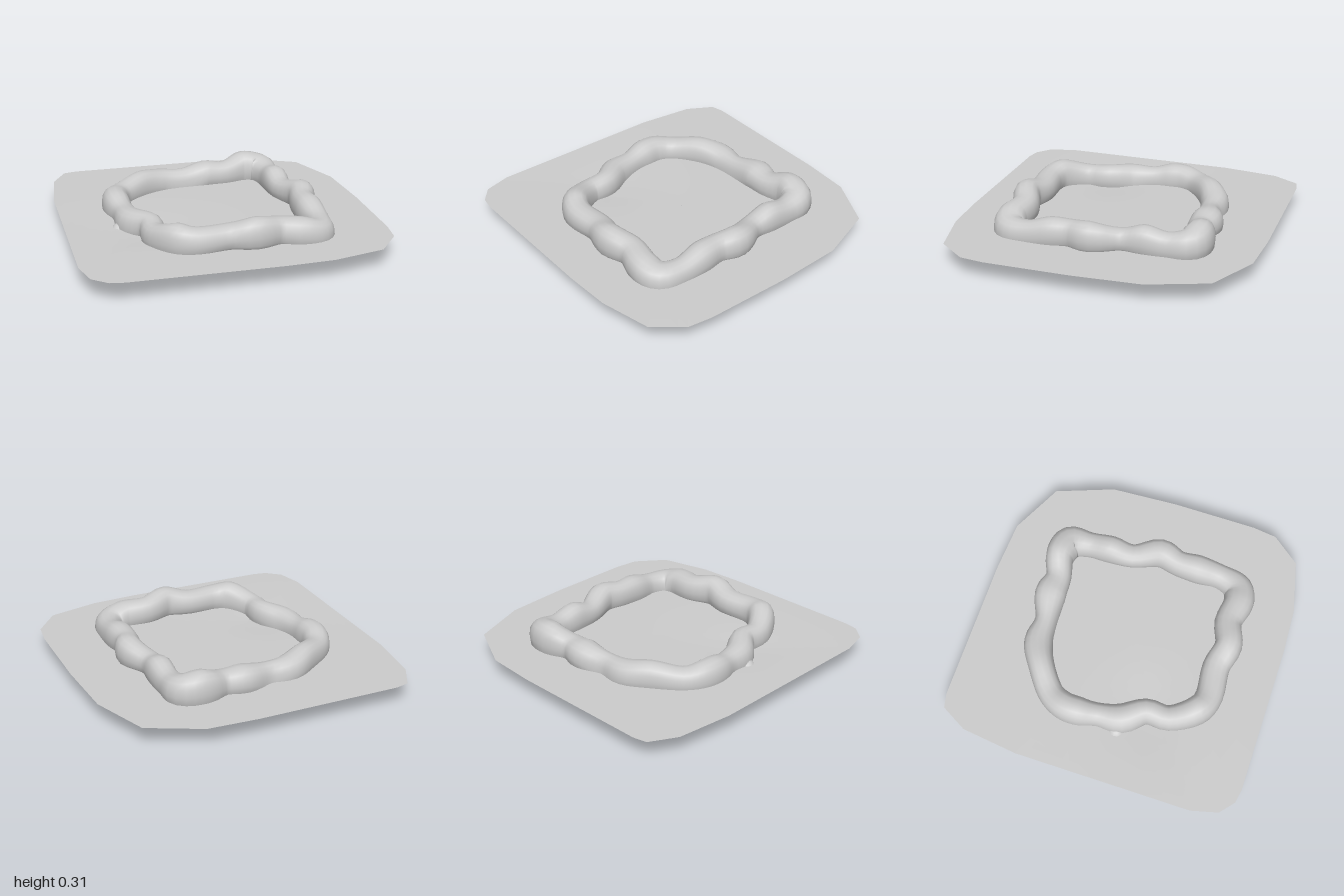
import * as THREE from 'three';

// Stations of the lumpy ring, clockwise from above: x, z, half width, bottom, top
const STATIONS = [
  // back
  [-0.40, -0.475, 0.085, 0.06, 0.27], [-0.25, -0.55, 0.095, 0.05, 0.25], [-0.09, -0.555, 0.075, 0.0, 0.24],
  [0.08, -0.585, 0.105, 0.07, 0.27], [0.22, -0.575, 0.085, 0.08, 0.26], [0.36, -0.615, 0.095, 0.06, 0.31],
  [0.48, -0.58, 0.105, 0.07, 0.29],
  // left
  [0.51, -0.45, 0.08, 0.07, 0.26], [0.515, -0.30, 0.085, 0.08, 0.29], [0.52, -0.15, 0.075, 0.10, 0.25],
  [0.59, 0.02, 0.09, 0.09, 0.295], [0.56, 0.16, 0.08, 0.09, 0.28], [0.565, 0.30, 0.09, 0.07, 0.28],
  [0.57, 0.45, 0.08, 0.05, 0.24],
  // front
  [0.53, 0.58, 0.10, 0.03, 0.24], [0.42, 0.62, 0.10, 0.06, 0.27], [0.26, 0.595, 0.09, 0.09, 0.28],
  [0.10, 0.645, 0.09, 0.09, 0.31], [-0.06, 0.61, 0.09, 0.10, 0.27], [-0.26, 0.625, 0.09, 0.08, 0.27],
  [-0.38, 0.575, 0.09, 0.06, 0.29],
  // right
  [-0.475, 0.42, 0.08, 0.05, 0.24], [-0.48, 0.27, 0.08, 0.06, 0.25], [-0.57, 0.13, 0.095, 0.01, 0.24],
  [-0.595, -0.02, 0.075, 0.05, 0.23], [-0.615, -0.14, 0.09, 0.04, 0.26], [-0.61, -0.25, 0.09, 0.05, 0.26],
  [-0.55, -0.36, 0.085, 0.06, 0.24],
];

// Outline of the sheet, clockwise from above: x, z
const OUTLINE = [
  [-0.86, -0.98], [-0.77, -1], [0.17, -1], [0.5, -0.98], [0.835, -0.815], [0.975, -0.44],
  [1, 0], [1, 0.56], [0.98, 0.72], [0.835, 0.905], [0.5, 0.985], [0.2, 1],
  [-0.77, 1], [-0.86, 0.985], [-0.955, 0.905], [-1, 0.73], [-1, -0.44], [-0.955, -0.81],
];

function meshFrom(name, positions, index, side = THREE.FrontSide) {
  const geometry = new THREE.BufferGeometry();
  geometry.setAttribute('position', new THREE.Float32BufferAttribute(positions, 3));
  geometry.setIndex(index);
  geometry.computeVertexNormals();
  const mesh = new THREE.Mesh(geometry, new THREE.MeshStandardMaterial({ color: 0xcccccc, side }));
  mesh.name = name;
  return mesh;
}

// Joins a rows x cols grid of vertices; cols always wrap around, rows optionally
function gridIndex(rows, cols, wrapRows) {
  const index = [];
  for (let i = 0; i < (wrapRows ? rows : rows - 1); i++) {
    for (let j = 0; j < cols; j++) {
      const next = ((i + 1) % rows) * cols, k = (j + 1) % cols;
      const a = i * cols + j, b = i * cols + k, c = next + j, d = next + k;
      index.push(a, b, c, b, d, c);
    }
  }
  return index;
}

// Closed sweep whose width and height swell along the path
function lumpyRing() {
  const rows = STATIONS.length * 4, cols = 16, positions = [];
  const closed = (points) => new THREE.CatmullRomCurve3(points, true, 'catmullrom', 0.5);
  const path = closed(STATIONS.map(([x, z, , lo, hi]) => new THREE.Vector3(x, (lo + hi) / 2, z)));
  const size = closed(STATIONS.map(([, , w, lo, hi]) => new THREE.Vector3(w, (hi - lo) / 2, 0)));
  const round = (v) => Math.sign(v) * Math.abs(v) ** 0.85;
  for (let i = 0; i < rows; i++) {
    const p = path.getPoint(i / rows), s = size.getPoint(i / rows);
    const t = path.getTangent(i / rows).setY(0).normalize();
    for (let j = 0; j < cols; j++) {
      const a = (j / cols) * Math.PI * 2;
      const out = s.x * round(Math.cos(a));
      positions.push(p.x + t.z * out, p.y + s.y * round(Math.sin(a)), p.z - t.x * out);
    }
  }
  return meshFrom('lumpyRing', positions, gridIndex(rows, cols, true));
}

// Thin sheet with a faint hollow towards its right side
function groundSheet() {
  const edge = [], split = 4, rows = 17, positions = [];
  OUTLINE.forEach(([x, z], i) => {
    const [nx, nz] = OUTLINE[(i + 1) % OUTLINE.length];
    for (let k = 0; k < split; k++) edge.push([x + (nx - x) * k / split, z + (nz - z) * k / split]);
  });
  for (let i = 0; i < rows; i++) {
    const r = Math.max(i / (rows - 1), 0.001);
    for (const [ex, ez] of edge) {
      const x = ex * r, z = ez * r;
      const hollow = 0.02 * Math.exp(-(((x + 0.5) / 0.25) ** 2) - ((z - 0.25) / 0.2) ** 2);
      positions.push(x, 0.13 - hollow, z);
    }
  }
  const index = gridIndex(rows, edge.length, false);
  // Turn the faces upward
  for (let i = 0; i < index.length; i += 3) [index[i + 1], index[i + 2]] = [index[i + 2], index[i + 1]];
  return meshFrom('groundSheet', positions, index, THREE.DoubleSide);
}

export function createModel() {
  const group = new THREE.Group();
  group.name = 'ringOnSheet';
  // Small knob on the ring's right side
  const knob = new THREE.Mesh(
    new THREE.SphereGeometry(1, 14, 10),
    new THREE.MeshStandardMaterial({ color: 0xcccccc }),
  );
  knob.name = 'ringKnob';
  knob.scale.set(0.075, 0.07, 0.065);
  knob.position.set(-0.635, 0.08, 0.12);
  group.add(groundSheet(), lumpyRing(), knob);
  return group;
}
